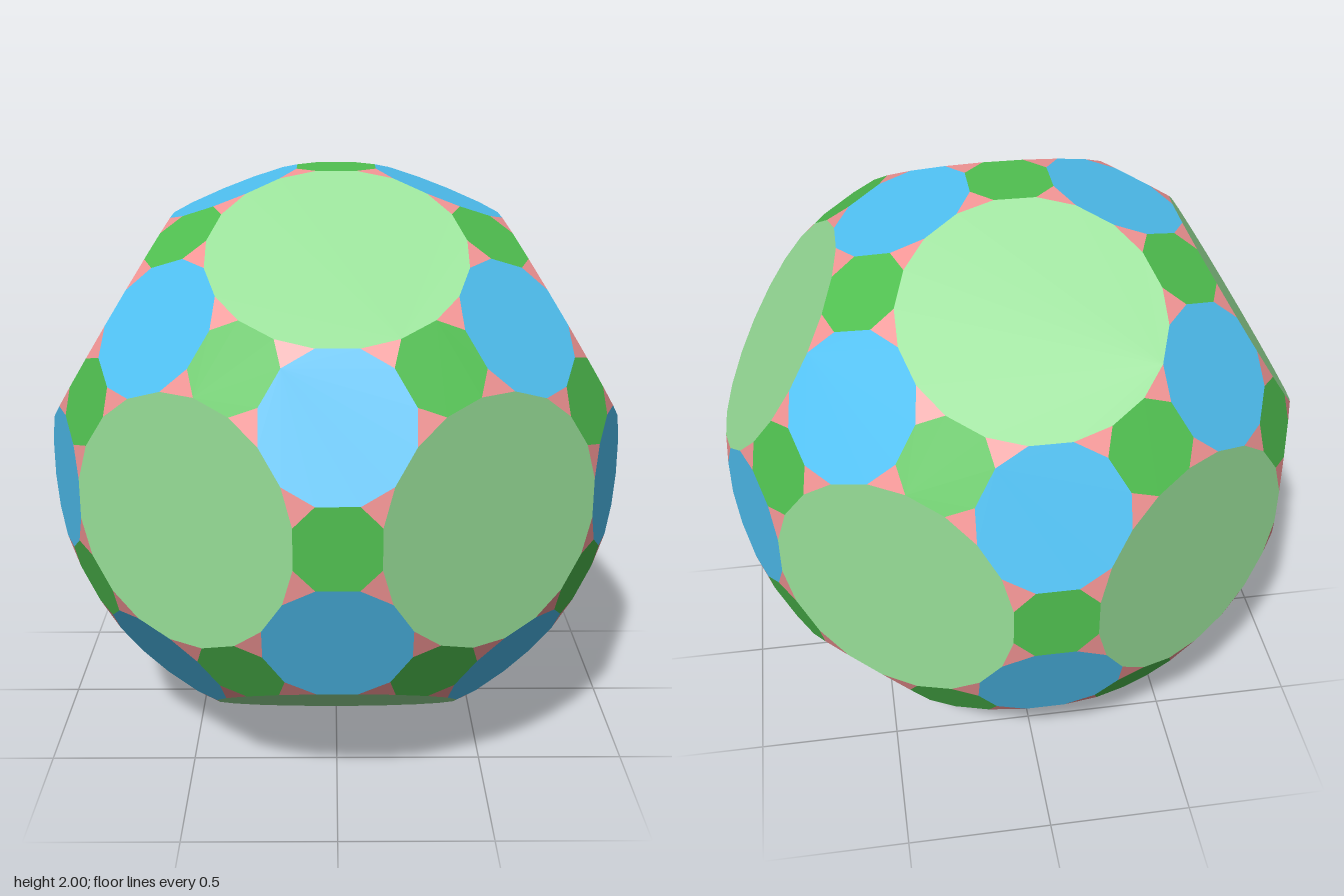
import * as THREE from 'three';

const PHI = (1 + Math.sqrt(5)) / 2;
const SCALE = 1 / (3 + PHI); // puts the octagon planes at distance 1
const EDGE = 2 / PHI;        // edge length before the corners are cut
const CUT = 0.25;            // share of each edge removed at each end

// All sign changes and cyclic permutations of one point
function orbit(a, b, c) {
  const out = [];
  for (const i of a ? [1, -1] : [1])
    for (const j of b ? [1, -1] : [1])
      for (const k of c ? [1, -1] : [1]) {
        const [x, y, z] = [a * i, b * j, c * k];
        out.push(new THREE.Vector3(x, y, z), new THREE.Vector3(y, z, x), new THREE.Vector3(z, x, y));
      }
  return out;
}

// Order the points of a flat face counter-clockwise seen from outside
function ring(points, axis) {
  const n = axis.clone().normalize();
  const centre = points.reduce((s, p) => s.add(p), new THREE.Vector3()).divideScalar(points.length);
  const u = points[0].clone().sub(centre).projectOnPlane(n).normalize();
  const v = n.clone().cross(u);
  const angle = p => {
    const d = p.clone().sub(centre);
    return Math.atan2(d.dot(v), d.dot(u));
  };
  return points.map(p => ({ p, a: angle(p) })).sort((s, t) => s.a - t.a).map(e => e.p);
}

// One flat-shaded mesh from a list of convex rings
function facesMesh(name, color, rings) {
  const pos = [];
  for (const r of rings)
    for (let i = 1; i < r.length - 1; i++)
      for (const p of [r[0], r[i], r[i + 1]])
        pos.push(p.x * SCALE, p.y * SCALE + 1, p.z * SCALE);
  const geometry = new THREE.BufferGeometry();
  geometry.setAttribute('position', new THREE.Float32BufferAttribute(pos, 3));
  geometry.computeVertexNormals();
  const mesh = new THREE.Mesh(geometry, new THREE.MeshStandardMaterial({ color, flatShading: true }));
  mesh.name = name;
  return mesh;
}

export function createModel() {
  // Corners of the truncated icosidodecahedron
  const corners = [
    ...orbit(1 / PHI, 1 / PHI, 3 + PHI),
    ...orbit(2 / PHI, PHI, 1 + 2 * PHI),
    ...orbit(1 / PHI, PHI * PHI, 3 * PHI - 1),
    ...orbit(2 * PHI - 1, 2, 2 + PHI),
    ...orbit(PHI, 3, 2 * PHI),
  ];

  // Symmetry axes: five-fold, then two-fold and three-fold as sums of neighbours
  const five = orbit(1, 0, PHI);
  const near = (p, q) => p.distanceTo(q) < 2.01;
  const two = [], three = [];
  five.forEach((p, i) => five.forEach((q, j) => {
    if (j <= i || !near(p, q)) return;
    two.push(p.clone().add(q));
    five.forEach((r, k) => {
      if (k > j && near(p, r) && near(q, r)) three.push(p.clone().add(q).add(r));
    });
  }));

  // Face of the solid along an axis, with every corner cut off
  const cutFace = axis => {
    const top = Math.max(...corners.map(c => c.dot(axis)));
    const r = ring(corners.filter(c => c.dot(axis) > top - 1e-4), axis);
    return r.flatMap((p, i) => {
      const q = r[(i + 1) % r.length];
      return [p.clone().lerp(q, CUT), p.clone().lerp(q, 1 - CUT)];
    });
  };

  // Small triangle left where a corner is cut off
  const cornerFace = c => ring(
    corners.filter(d => d !== c && d.distanceTo(c) < EDGE + 0.01).map(d => c.clone().lerp(d, CUT)), c);

  const model = new THREE.Group();
  model.name = 'polyhedron';
  model.add(
    facesMesh('largeIcosagons', 0x98df98, five.map(cutFace)),
    facesMesh('dodecagons', 0x50c2f4, three.map(cutFace)),
    facesMesh('octagons', 0x50c050, two.map(cutFace)),
    facesMesh('cornerTriangles', 0xf49696, corners.map(cornerFace)),
  );
  return model;
}
